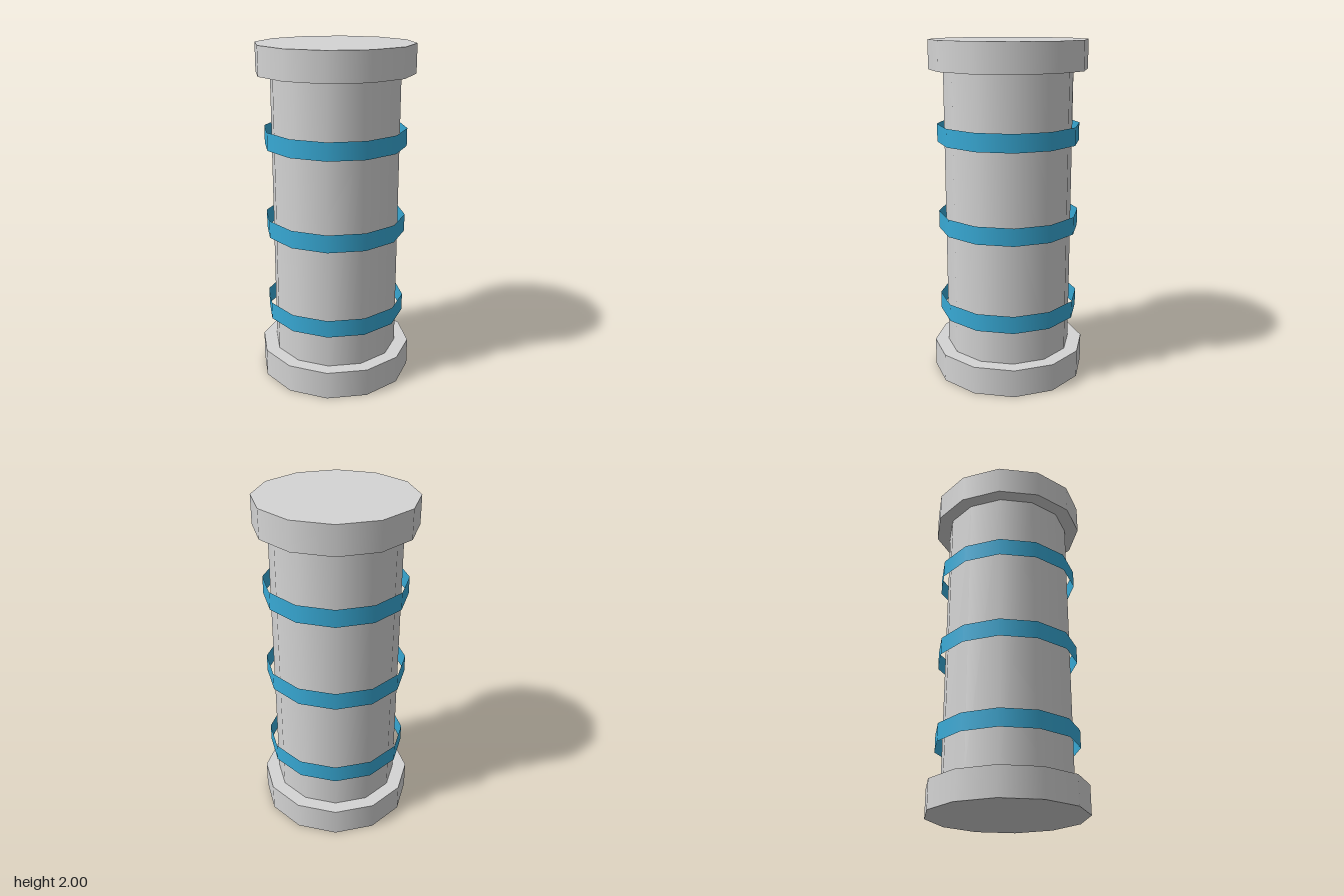
import * as THREE from 'three';

const SIDES = 12;

export function createModel() {
  const model = new THREE.Group();
  model.name = 'bandedCanister';

  const grey = new THREE.MeshStandardMaterial({ color: 0xd4d4d4 });
  grey.name = 'light grey';
  const blue = new THREE.MeshStandardMaterial({ color: 0x38aad6, side: THREE.DoubleSide });
  blue.name = 'sky blue';

  // Upright twelve-sided drum with its base at height y
  function drum(name, radius, height, y, material, open = false) {
    const geometry = new THREE.CylinderGeometry(radius, radius, height, SIDES, 1, open);
    const mesh = new THREE.Mesh(geometry, material);
    mesh.name = name;
    mesh.position.y = y + height / 2;
    model.add(mesh);
  }

  // Central body between two wider end caps
  drum('body', 0.375, 1.6667, 0.1667, grey, true);
  drum('bottomCap', 0.4583, 0.1667, 0, grey);
  drum('topCap', 0.4583, 0.1667, 1.8333, grey);

  // Three thin open hoops standing clear of the body
  ['lowerBand', 'middleBand', 'upperBand'].forEach((name, i) => {
    drum(name, 0.4167, 0.1042, 0.377 + i * 0.5208, blue, true);
  });

  return model;
}
